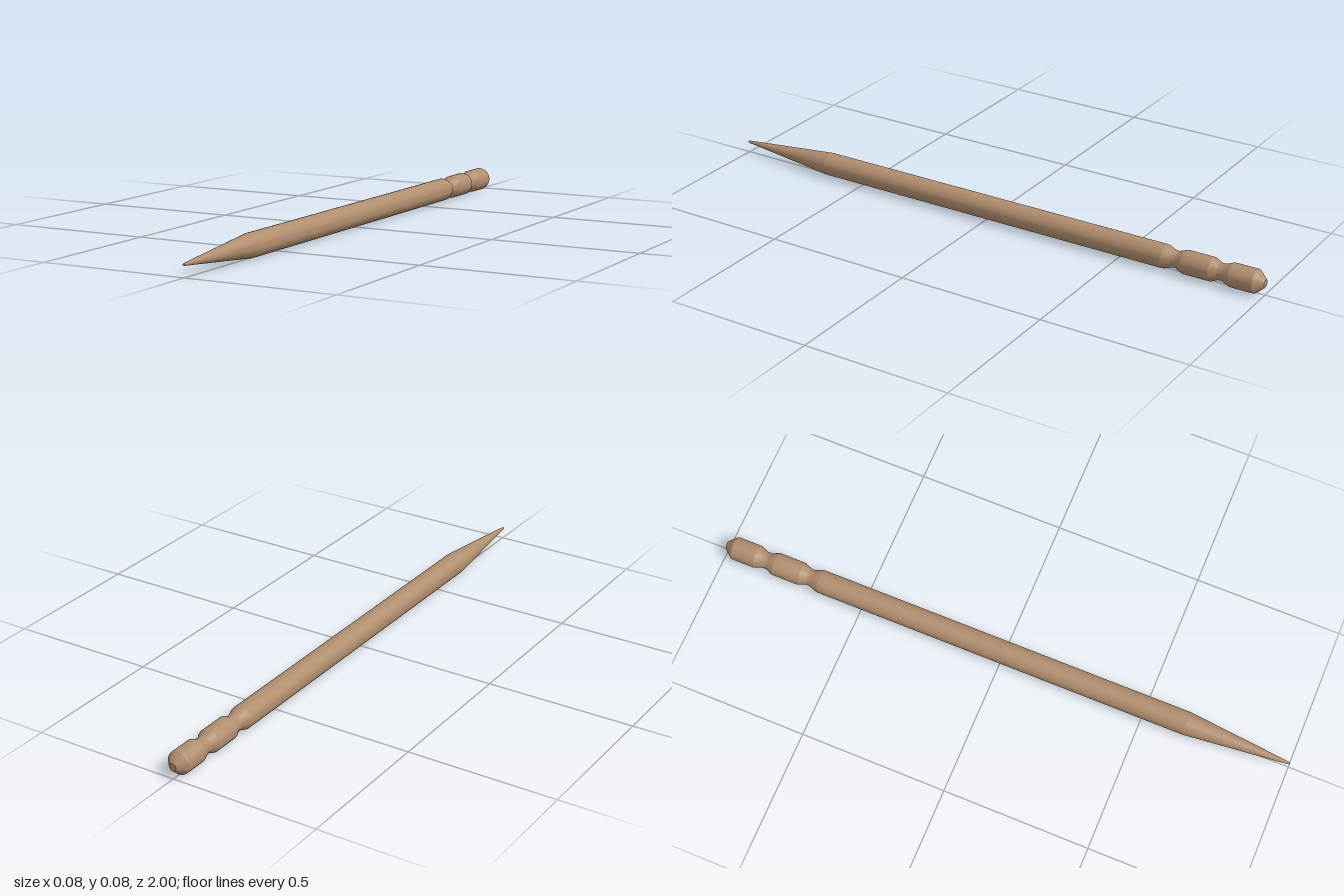
import * as THREE from 'three';
import { toCreasedNormals } from 'three/addons/utils/BufferGeometryUtils.js';

const R = 0.039;       // shaft radius
const NECK = 0.028;    // radius at the bottom of the grooves
const SIDES = 32;

export function createModel() {
  const group = new THREE.Group();
  group.name = 'toothpick';
  const wood = new THREE.MeshStandardMaterial({ color: 0xb08d6e });

  // Turns a profile of [radius, z] pairs, listed back to front, about the z axis
  function turned(name, profile) {
    const points = profile.map(([r, z]) => new THREE.Vector2(r, z));
    const geometry = new THREE.LatheGeometry(points, SIDES);
    geometry.rotateX(Math.PI / 2);
    const mesh = new THREE.Mesh(toCreasedNormals(geometry, 0.35), wood);
    mesh.name = name;
    mesh.position.y = R;
    group.add(mesh);
  }

  // Blunt chamfered end with a small flat cap
  turned('endCap', [[0, -1], [0.013, -1], [0.017, -0.996], [R - 0.001, -0.972], [R, -0.968]]);
  turned('endKnob', [[R, -0.968], [R, -0.888]]);

  // Rear groove, softly rounded
  turned('rearGroove', [
    [R, -0.888], [0.037, -0.883], [0.031, -0.87], [NECK, -0.86],
    [NECK, -0.846], [0.031, -0.838], [0.037, -0.826], [R, -0.82],
  ]);
  turned('middleBead', [[R, -0.82], [R, -0.73], [R - 0.001, -0.724]]);

  // Front groove, with a steep step on its back side
  turned('frontGroove', [
    [R - 0.001, -0.724], [0.036, -0.721], [0.031, -0.708], [NECK, -0.7],
    [NECK, -0.688], [0.031, -0.679], [0.037, -0.664], [R, -0.655],
  ]);

  // Long straight shaft and its sharpened point
  turned('shaft', [[R, -0.655], [R, 0.645]]);
  turned('point', [[R, 0.645], [0.004, 1], [0, 1]]);

  return group;
}
